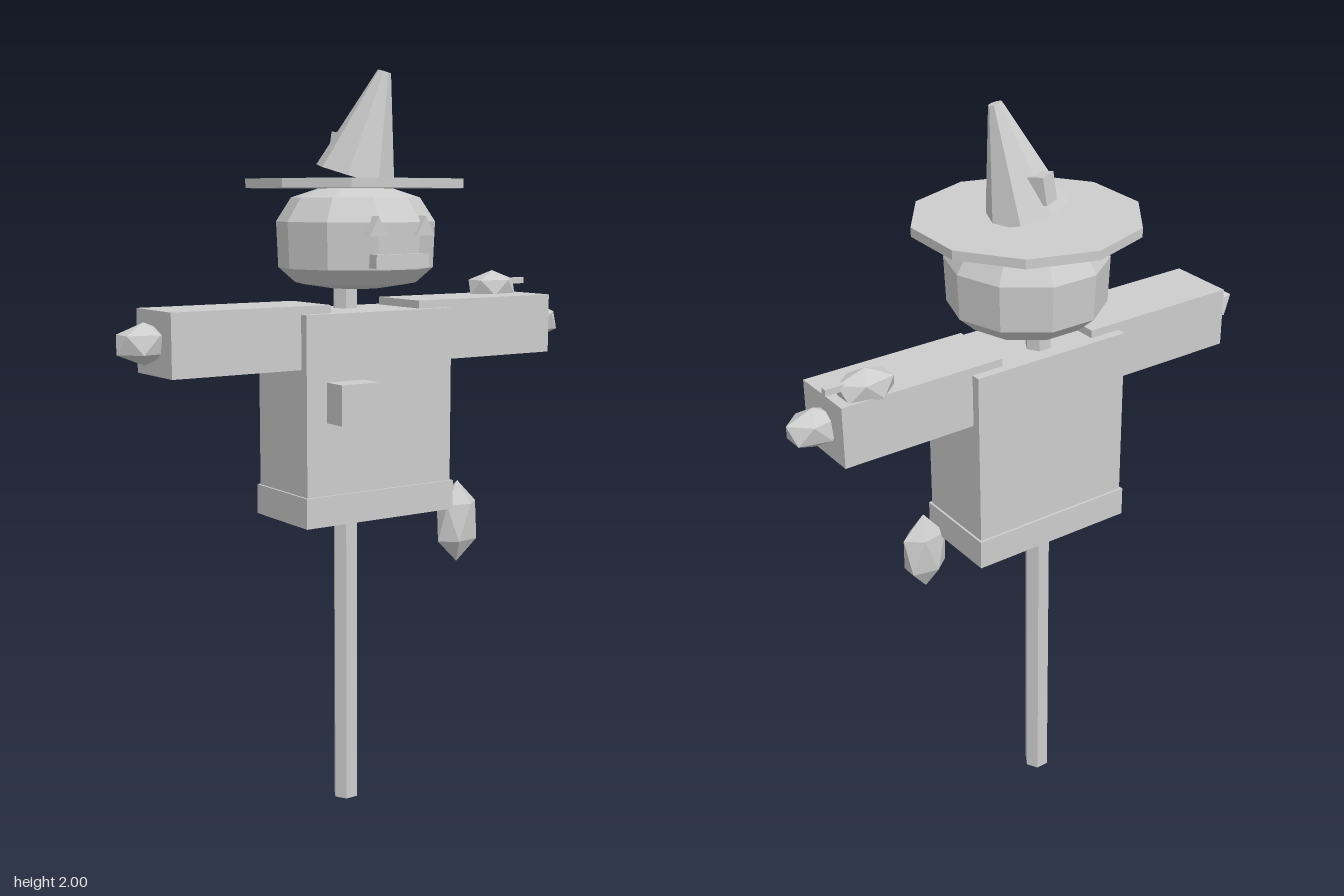
import * as THREE from 'three';

const straw = new THREE.MeshStandardMaterial({ color: 0xcccccc });
straw.name = 'plain grey';

export function createModel() {
  const root = new THREE.Group();
  root.name = 'scarecrow';

  // Adds a faceted mesh at a position
  const add = (name, geo, x, y, z, parent = root) => {
    const g = geo.index ? geo.toNonIndexed() : geo;
    g.computeVertexNormals();
    const m = new THREE.Mesh(g, straw);
    m.name = name;
    m.position.set(x, y, z);
    parent.add(m);
    return m;
  };
  const box = (name, w, h, d, x, y, z) => add(name, new THREE.BoxGeometry(w, h, d), x, y, z);
  // Stretched twenty-sided lump standing on one corner
  const lump = (name, rx, ry, rz, x, y, z) => {
    const g = new THREE.IcosahedronGeometry(1, 0);
    g.rotateZ(-Math.atan(2 / (1 + Math.sqrt(5)))).scale(rx, ry, rz);
    return add(name, g, x, y, z);
  };

  // Post
  add('post', new THREE.CylinderGeometry(0.035, 0.035, 1.5, 6).rotateY(Math.PI / 6), -0.002, 0.75, -0.046);

  // Body
  box('torso', 0.46, 0.55, 0.236, 0, 1.105, 0.002);
  box('hem', 0.472, 0.08, 0.25, 0, 0.87, 0.002);
  box('pocket', 0.115, 0.105, 0.075, -0.112, 1.153, 0.153);

  // Arms and hands
  for (const [side, s] of [['left', 1], ['right', -1]]) {
    box(side + 'Arm', 0.457, 0.162, 0.186, s * 0.369, 1.32, 0.002);
    lump(side + 'Hand', 0.082, 0.053, 0.056, s * 0.625, 1.32, 0.002);
  }

  // Head: squashed ten-sided ball
  const profile = [[0, 1.435], [0.07, 1.436], [0.16, 1.45], [0.205, 1.49], [0.21, 1.61],
    [0.17, 1.672], [0.1, 1.695], [0, 1.698]].map(([r, y]) => new THREE.Vector2(r, y));
  add('head', new THREE.LatheGeometry(profile, 10).rotateY(Math.PI / 2), 0, 0, 0);

  // Face
  for (const s of [1, -1]) {
    const eye = new THREE.CylinderGeometry(0.033, 0.033, 0.03, 3);
    eye.rotateX(-Math.PI / 2).scale(0.95, 1, 1);
    add(s > 0 ? 'leftEye' : 'rightEye', eye, s * 0.073, 1.593, 0.198);
  }
  box('mouth', 0.163, 0.035, 0.035, 0, 1.513, 0.198);

  // Hat with a leaning crown and a patch behind
  add('hatBrim', new THREE.CylinderGeometry(0.295, 0.295, 0.024, 10), 0, 1.708, 0);
  const crown = add('hatCrown', new THREE.CylinderGeometry(0.018, 0.108, 0.276, 8), 0.027, 1.861, 0.027);
  crown.rotation.set(0.2, 0, -0.2);
  const patch = box('hatPatch', 0.05, 0.07, 0.045, 0, 1.805, -0.063);
  patch.rotation.set(0.15, 0.4, -0.1);

  // Bird on the left arm
  lump('birdBody', 0.086, 0.048, 0.054, 0.507, 1.418, -0.05);
  box('birdBeak', 0.07, 0.017, 0.017, 0.585, 1.434, -0.05);

  // Bundle hanging at the hem
  lump('hangingBundle', 0.072, 0.115, 0.044, 0.275, 0.786, 0.096);

  return root;
}
